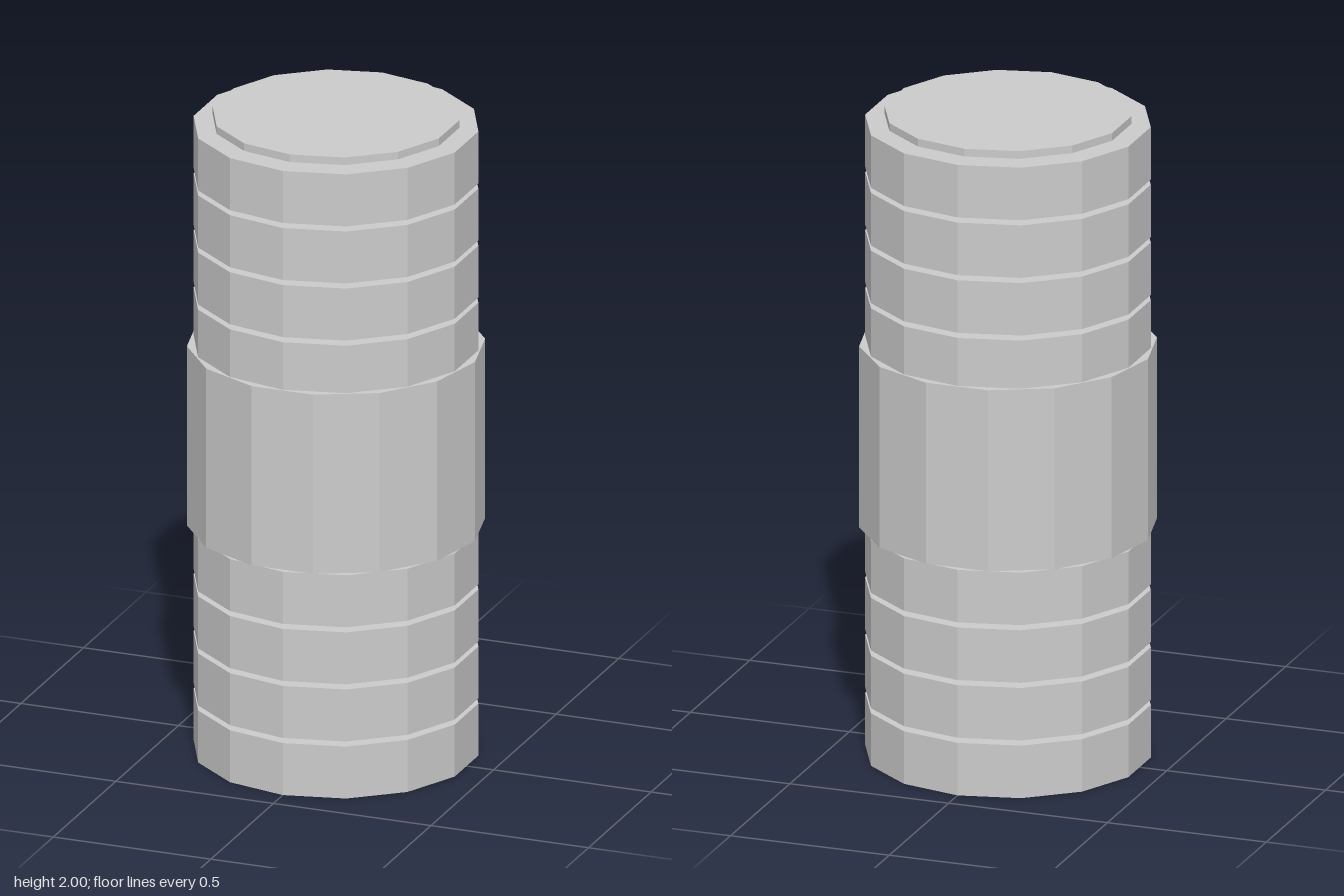
import * as THREE from 'three';

const SIDES = 14;

export function createModel() {
  const model = new THREE.Group();
  const material = new THREE.MeshStandardMaterial({ color: 0xcccccc, flatShading: true });

  // Solid faceted drum between two heights
  function drum(name, radius, bottom, top, turn = 0) {
    const geometry = new THREE.CylinderGeometry(radius, radius, top - bottom, SIDES, 1, false, turn);
    const mesh = new THREE.Mesh(geometry, material);
    mesh.name = name;
    mesh.position.y = (bottom + top) / 2;
    model.add(mesh);
  }

  // Two stacks of four separate discs, with narrow gaps between them
  const discHeight = 0.164, pitch = 0.18;
  for (const [name, base] of [['lowerDisc', 0], ['upperDisc', 1.264]]) {
    for (let i = 0; i < 4; i++) {
      const y = base + i * pitch;
      drum(name + (i + 1), 0.425, y, y + discHeight);
    }
  }

  // Wider central sleeve, its corners turned to lie on the x axis
  drum('centralSleeve', 0.441, 0.713, 1.278, Math.PI / 2);

  // Thin end cap floating just above the top disc
  drum('topCap', 0.368, 1.976, 2);

  return model;
}
